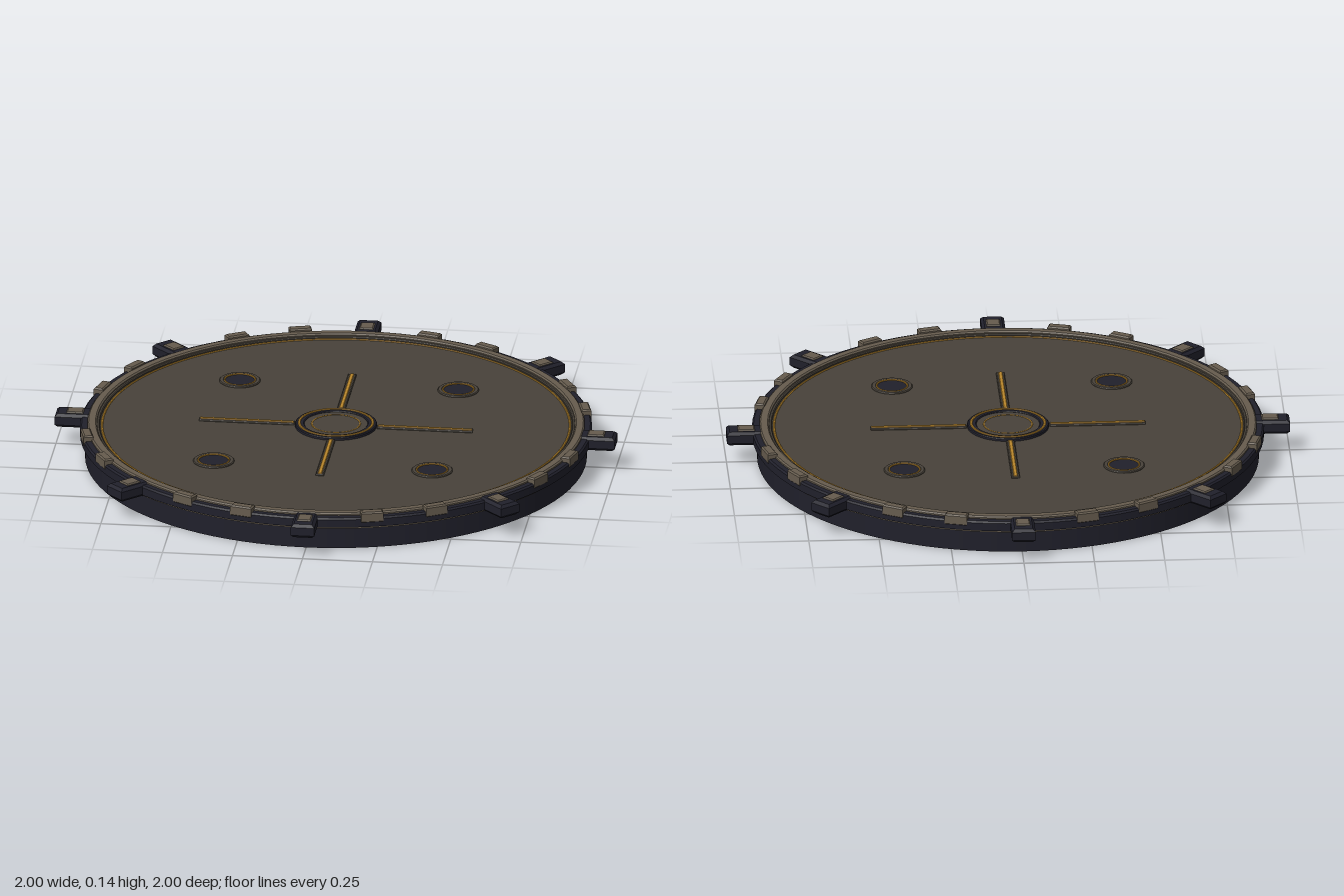
import * as THREE from 'three';

const mat = (name, color) => {
  const m = new THREE.MeshStandardMaterial({ color });
  m.name = name;
  return m;
};

export function createModel() {
  const model = new THREE.Group();
  const navy = mat('dark navy metal', 0x20202b);
  const deckBrown = mat('deck brown', 0x48423a);
  const stone = mat('light stone', 0x665c4e);
  const gold = mat('gold', 0xb8862b);

  const add = (name, geometry, material, parent = model) => {
    const mesh = new THREE.Mesh(geometry, material);
    mesh.name = name;
    parent.add(mesh);
    return mesh;
  };

  // Closed ring with small bevels on its upper edges
  const ring = (name, r0, r1, y0, y1, material, parent = model, bevel = 0.003) => {
    const p = [[r0, y0], [r1, y0], [r1, y1 - bevel], [r1 - bevel, y1],
      [r0 + bevel, y1], [r0, y1 - bevel], [r0, y0]];
    const pieces = new THREE.Group();
    pieces.name = name;
    parent.add(pieces);
    for (let i = 0; i < p.length - 1; i++) {
      const pts = [p[i], p[i + 1]].map(([x, y]) => new THREE.Vector2(x, y));
      add(name + 'Face', new THREE.LatheGeometry(pts, 96), material, pieces);
    }
    return pieces;
  };

  // Box with bevelled edges, centred on x and z and standing on y = 0
  const bevelBox = (w, h, d, b) => {
    const s = new THREE.Shape();
    const x = w / 2 - b, z = d / 2 - b;
    s.moveTo(-x, -z).lineTo(x, -z).lineTo(x, z).lineTo(-x, z).closePath();
    const g = new THREE.ExtrudeGeometry(s, {
      depth: h - 2 * b, bevelEnabled: true, bevelThickness: b, bevelSize: b, bevelSegments: 1,
    });
    return g.rotateX(-Math.PI / 2).translate(0, b, 0);
  };

  const disc = (name, r, y0, y1, material, parent = model) => {
    const g = new THREE.CylinderGeometry(r, r, y1 - y0, 96);
    return add(name, g.translate(0, (y0 + y1) / 2, 0), material, parent);
  };

  // Body and deck
  disc('body', 0.89, 0, 0.076, navy);
  disc('bodySeam', 0.896, 0.076, 0.086, stone);
  disc('deck', 0.87, 0.086, 0.115, deckBrown);

  // Stepped rim
  ring('outerRim', 0.865, 0.908, 0.085, 0.12, navy, model, 0.006);
  ring('rimBand', 0.848, 0.882, 0.11, 0.13, stone, model, 0.005);
  ring('innerBand', 0.838, 0.85, 0.11, 0.122, deckBrown);
  ring('goldInlay', 0.826, 0.834, 0.112, 0.118, gold, model, 0.002);

  // Teeth and lugs around the rim, every 15 degrees
  const tooth = bevelBox(0.08, 0.04, 0.035, 0.005);
  const lug = bevelBox(0.084, 0.05, 0.13, 0.01);
  const lugCap = bevelBox(0.05, 0.012, 0.06, 0.004);
  for (let i = 0; i < 24; i++) {
    const spoke = new THREE.Group();
    spoke.rotation.y = (i * Math.PI) / 12;
    model.add(spoke);
    if (i % 3 === 0) {
      spoke.name = 'lug';
      add('lugBlock', lug, navy, spoke).position.set(0, 0.077, 0.935);
      add('lugCap', lugCap, stone, spoke).position.set(0, 0.12, 0.93);
    } else {
      spoke.name = 'rimTooth';
      add('tooth', tooth, stone, spoke).position.set(0, 0.1, 0.892);
    }
  }

  // Central hub
  const hub = new THREE.Group();
  hub.name = 'hub';
  model.add(hub);
  ring('hubRim', 0.112, 0.145, 0.112, 0.126, navy, hub);
  ring('hubGold', 0.126, 0.135, 0.12, 0.13, gold, hub, 0.002);
  disc('hubPlate', 0.113, 0.112, 0.122, deckBrown, hub);
  ring('hubInlay', 0.083, 0.088, 0.12, 0.1235, gold, hub, 0.001);

  // Four raised ribs and four ports
  const rib = bevelBox(0.03, 0.01, 0.34, 0.003);
  const ribInlay = bevelBox(0.014, 0.006, 0.335, 0.002);
  for (let i = 0; i < 4; i++) {
    const arm = new THREE.Group();
    arm.name = 'rib';
    arm.rotation.y = (i * Math.PI) / 2;
    model.add(arm);
    add('ribBase', rib, deckBrown, arm).position.set(0, 0.111, 0.318);
    add('ribInlay', ribInlay, gold, arm).position.set(0, 0.118, 0.318);

    const port = new THREE.Group();
    port.name = 'port';
    port.position.set(i % 2 ? 0.39 : -0.39, 0, i < 2 ? 0.39 : -0.39);
    model.add(port);
    ring('portRim', 0.056, 0.073, 0.112, 0.12, deckBrown, port);
    ring('portGold', 0.052, 0.057, 0.112, 0.121, gold, port, 0.001);
    disc('portWell', 0.053, 0.112, 0.117, navy, port);
  }
  return model;
}
